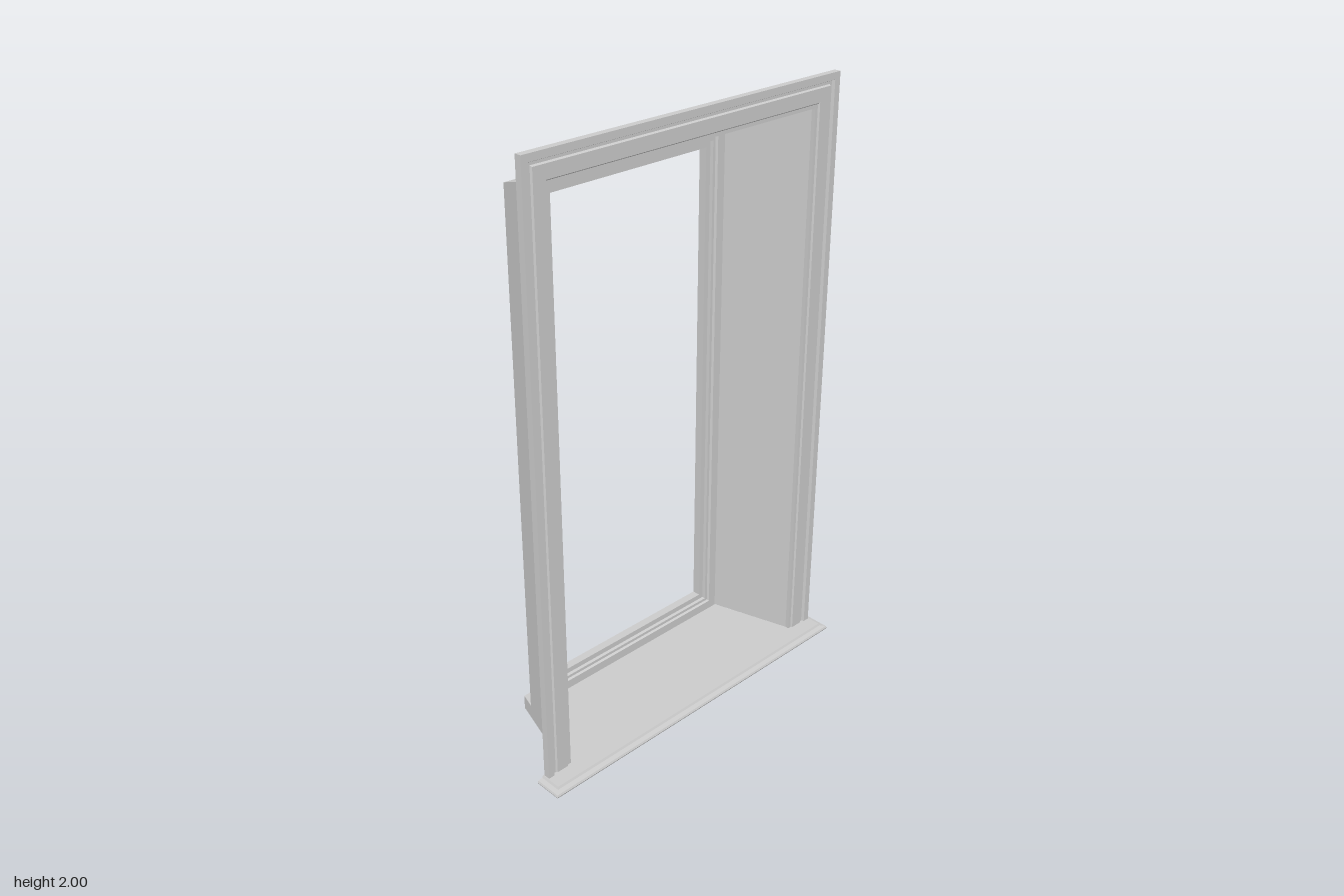
import * as THREE from 'three';

const grey = new THREE.MeshStandardMaterial({ color: 0xcccccc, flatShading: true });
const thin = new THREE.MeshStandardMaterial({ color: 0xcccccc, flatShading: true, side: THREE.DoubleSide });

// Joins successive rows of points with flat quads.
function loft(name, rows, { loop = false, closed = false, material = grey } = {}) {
  const pos = [];
  const rowCount = closed ? rows.length : rows.length - 1;
  for (let r = 0; r < rowCount; r++) {
    const p = rows[r], q = rows[(r + 1) % rows.length];
    const n = loop ? p.length : p.length - 1;
    for (let k = 0; k < n; k++) {
      const m = (k + 1) % p.length;
      pos.push(...p[k], ...p[m], ...q[m], ...p[k], ...q[m], ...q[k]);
    }
  }
  const geo = new THREE.BufferGeometry();
  geo.setAttribute('position', new THREE.Float32BufferAttribute(pos, 3));
  geo.computeVertexNormals();
  const mesh = new THREE.Mesh(geo, material);
  mesh.name = name;
  return mesh;
}

// Upright rectangle, starting at its lower right corner.
const rect = (w, bottom, top, z) => [[w, bottom, z], [w, top, z], [-w, top, z], [-w, bottom, z]];

export function createModel() {
  const group = new THREE.Group();
  const sillTop = 0.05;

  // Moulded casing on three sides: [inset, z], outer back to inner back
  const casing = [
    [0, 0.125], [0, 0.147], [0.022, 0.147], [0.026, 0.138], [0.034, 0.138],
    [0.038, 0.143], [0.08, 0.143], [0.084, 0.138], [0.095, 0.138], [0.095, 0.125],
  ];
  group.add(loft('casing', casing.map(([d, z]) => rect(0.6 - d, sillTop, 2 - d, z)), { closed: true }));

  // Splayed reveal: thin jambs and head narrowing towards the back
  group.add(loft('reveal', [
    rect(0.505, sillTop, 1.91, 0.125),
    rect(0.42, sillTop, 1.82, -0.16),
  ], { material: thin }));

  // Stepped window frame around the opening
  const frame = [
    [0, -0.16], [0, -0.14], [0.03, -0.14], [0.034, -0.147], [0.044, -0.147],
    [0.046, -0.157], [0.064, -0.157], [0.064, -0.185], [0.022, -0.185], [0.022, -0.16],
  ];
  group.add(loft('windowFrame',
    frame.map(([d, z]) => rect(0.419 - d, sillTop + 0.004 + d, 1.819 - d, z)),
    { closed: true, loop: true }));

  // Tapered sill slab following the splay
  const plan = new THREE.Shape([
    [-0.505, -0.125], [0.505, -0.125], [0.403, 0.215], [-0.403, 0.215],
  ].map(([x, y]) => new THREE.Vector2(x, y)));
  const slab = new THREE.ExtrudeGeometry(plan, { depth: sillTop, bevelEnabled: false });
  slab.rotateX(-Math.PI / 2);
  const sill = new THREE.Mesh(slab, grey);
  sill.name = 'sill';
  group.add(sill);

  // Moulded nosing, mitred round both ends: [inset, y]
  const nosing = [
    [0.035, 0], [0.022, 0.006], [0.018, 0.015], [0.014, 0.02], [0.014, 0.025],
    [0.003, 0.028], [0, 0.034], [0.003, 0.04], [0.018, 0.043], [0.022, sillTop],
  ];
  const back = 0.122;
  const nosingRow = (w, f, y) => [[-w, y, back], [-w, y, f], [w, y, f], [w, y, back]];
  group.add(loft('sillNosing', [
    nosingRow(0, back, 0),
    ...nosing.map(([d, y]) => nosingRow(0.625 - d, 0.215 - d, y)),
    nosingRow(0, back, sillTop),
  ], { loop: true }));

  return group;
}
